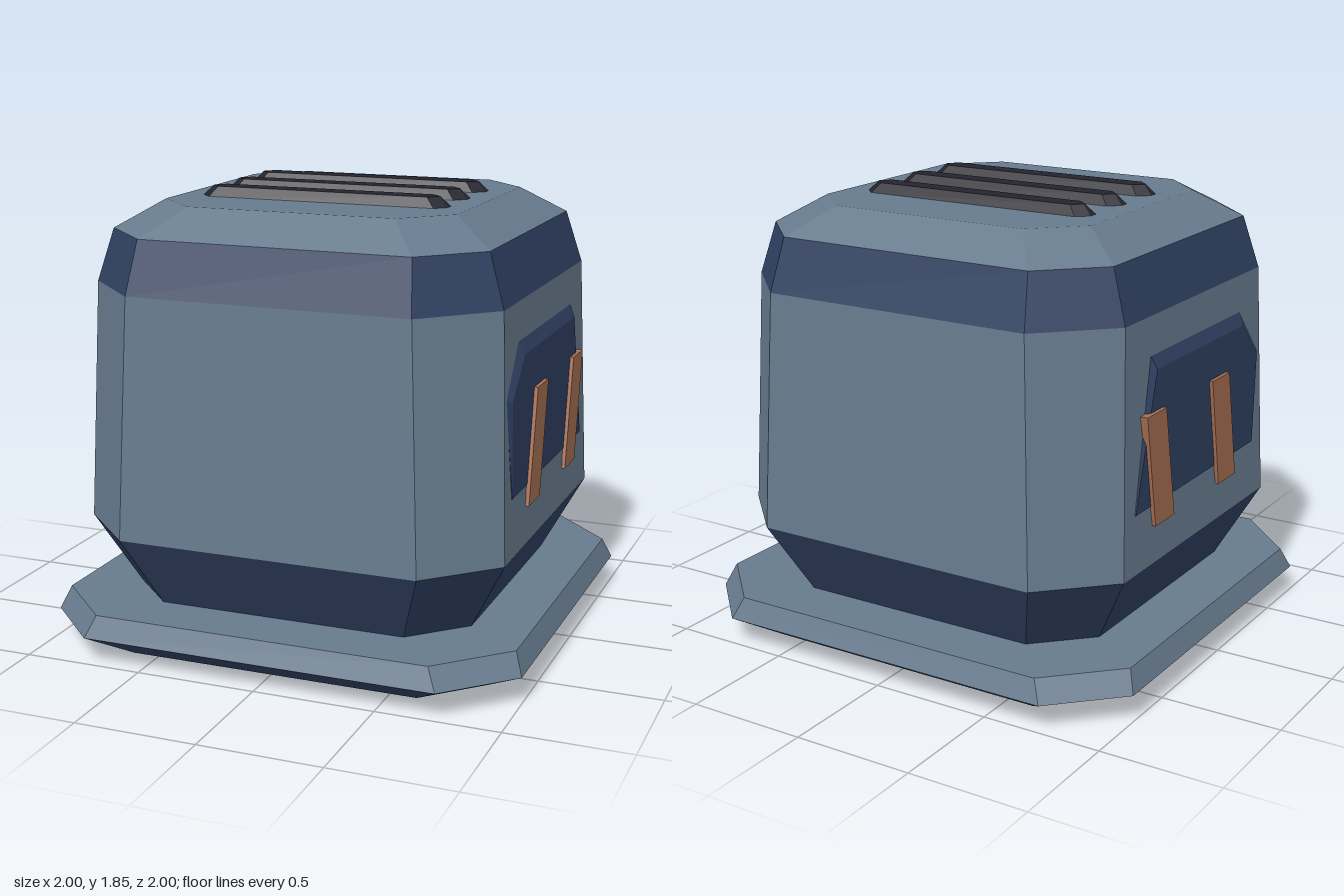
import * as THREE from 'three';

const paint = (name, color) => {
  const m = new THREE.MeshStandardMaterial({ color });
  m.name = name;
  return m;
};

// Octagonal cross-section at height y: half sizes hx, hz and corner cut
function octagon(y, hx, hz, cut, zOffset = 0) {
  const a = hx - cut, b = hz - cut;
  return [[-a, hz], [a, hz], [hx, b], [hx, -b], [a, -hz], [-a, -hz], [-hx, -b], [-hx, b]]
    .map(([x, z]) => [x, y, z + zOffset]);
}

// Flat-faced skin through rings, with optional end caps
function loft(rings, capStart = false, capEnd = false) {
  const pos = [];
  const tri = (a, b, c) => pos.push(...a, ...b, ...c);
  const n = rings[0].length;
  for (let r = 0; r < rings.length - 1; r++) {
    const a = rings[r], b = rings[r + 1];
    for (let i = 0; i < n; i++) {
      const j = (i + 1) % n;
      tri(a[i], a[j], b[j]);
      tri(a[i], b[j], b[i]);
    }
  }
  const first = rings[0], last = rings[rings.length - 1];
  for (let i = 1; i < n - 1; i++) {
    if (capStart) tri(first[0], first[i + 1], first[i]);
    if (capEnd) tri(last[0], last[i], last[i + 1]);
  }
  const g = new THREE.BufferGeometry();
  g.setAttribute('position', new THREE.Float32BufferAttribute(pos, 3));
  g.computeVertexNormals();
  return g;
}

// Place a ring on the left (1) or right (-1) side, keeping its faces outward
const onSide = (ring, side) => {
  const out = ring.map(([x, y, z]) => [x * side, y, z]);
  return side < 0 ? out.reverse() : out;
};

export function createModel() {
  const model = new THREE.Group();
  model.name = 'ventedUnit';
  const steel = paint('blue grey', 0x677b8e);
  const navy = paint('navy', 0x2f4061);
  const dark = paint('near black', 0x24242e);
  const copper = paint('copper', 0xa66e52);

  const add = (name, geometry, material, parent = model) => {
    const mesh = new THREE.Mesh(geometry, material);
    mesh.name = name;
    parent.add(mesh);
  };
  const square = (y, h, flat) => octagon(y, h, h, h - flat);

  // Base plate
  const foot = square(0, 0.825, 0.61);
  const rim = square(0.11, 1, 0.74);
  const plateTop = square(0.2, 0.965, 0.7);
  add('baseUnderside', loft([foot], true), dark);
  add('baseLowerBevel', loft([foot, rim]), navy);
  add('basePlate', loft([rim, plateTop], false, true), steel);

  // Body in stacked bands
  const waist = square(0.2, 0.73, 0.52);
  const hip = square(0.5, 0.89, 0.625);
  const shoulder = square(1.485, 0.853, 0.585);
  const brow = square(1.7, 0.787, 0.56);
  const crown = square(1.81, 0.615, 0.43);
  add('lowerBand', loft([waist, hip]), navy);
  add('bodyWalls', loft([hip, shoulder]), steel);
  add('upperBand', loft([shoulder, brow]), navy);
  add('roof', loft([brow, crown], false, true), steel);

  // Roof vents
  for (const z of [-0.25, 0, 0.25]) {
    add('roofVent', loft([
      octagon(1.805, 0.53, 0.068, 0.045, z),
      octagon(1.85, 0.485, 0.043, 0.038, z),
    ], false, true), dark);
  }

  // Side panels with slanted copper strips
  const panelFoot = [[0.872, 0.74, 0.525], [0.872, 0.74, -0.535], [0.857, 1.335, -0.39],
    [0.857, 1.335, 0.4], [0.864, 1.14, 0.57]];
  const panelFace = [[0.884, 0.74, 0.52], [0.884, 0.74, -0.53], [0.882, 1.28, -0.375],
    [0.882, 1.28, 0.385], [0.882, 1.125, 0.54]];
  const strip = (x, shift) => [[0.655, 0.33], [0.655, 0.17], [1.118, 0.082], [1.118, 0.238]]
    .map(([y, z]) => [x, y, z + shift]);
  for (const side of [1, -1]) {
    const group = new THREE.Group();
    group.name = side > 0 ? 'leftSidePanel' : 'rightSidePanel';
    model.add(group);
    add('panel', loft([onSide(panelFoot, side), onSide(panelFace, side)], false, true), navy, group);
    for (const shift of [0, -0.56]) {
      add('strip', loft([onSide(strip(0.865, shift), side), onSide(strip(0.898, shift), side)],
        true, true), copper, group);
    }
  }
  return model;
}
